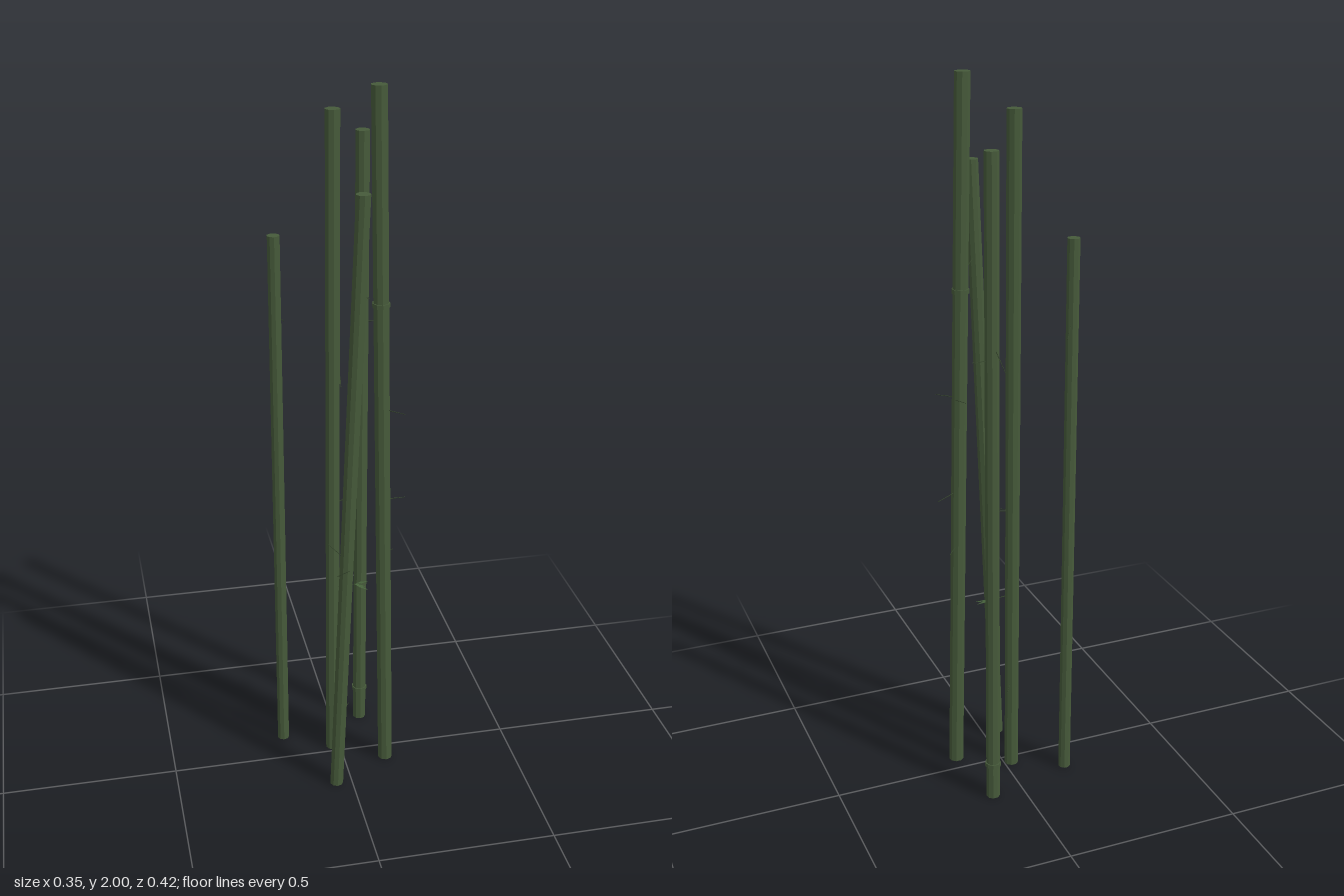
import * as THREE from 'three';

const stalkGreen = new THREE.MeshStandardMaterial({ color: 0x465a3a });
const twigGreen = new THREE.MeshStandardMaterial({ color: 0x35452c });
const leafGreen = new THREE.MeshStandardMaterial({ color: 0x45603a, side: THREE.DoubleSide });
stalkGreen.name = 'stalk green';
twigGreen.name = 'twig green';
leafGreen.name = 'leaf green';

const V = (p) => new THREE.Vector3(...p);

// faceted normals
function faceted(geo) {
  const g = geo.toNonIndexed();
  g.computeVertexNormals();
  return g;
}

// round bar whose horizontal ends sit at points a and b
function leaningBar(a, b, r0, r1, sides) {
  const geo = new THREE.CylinderGeometry(r1, r0, b.y - a.y, sides, 1);
  const pos = geo.attributes.position;
  for (let i = 0; i < pos.count; i++) {
    const t = pos.getY(i) > 0 ? 1 : 0;
    const c = a.clone().lerp(b, t);
    pos.setXYZ(i, pos.getX(i) + c.x, c.y, pos.getZ(i) + c.z);
  }
  return faceted(geo);
}

// stalk: base and top centres, radius, node heights
const stalks = [
  { name: 'shortStalk', a: [-0.16, 0, -0.102], b: [-0.16, 1.59, -0.102], r: 0.0172, nodes: [] },
  { name: 'backStalk', a: [0.09, 0, -0.162], b: [0.09, 1.84, -0.162], r: 0.0195, nodes: [0.1] },
  { name: 'middleStalk', a: [-0.022, 0, -0.027], b: [-0.01, 1.92, -0.064], r: 0.02, nodes: [] },
  { name: 'tallStalk', a: [0.122, 0, 0.053], b: [0.082, 2, 0.053], r: 0.021, nodes: [1.43] },
  { name: 'frontStalk', a: [-0.045, 0, 0.147], b: [0.022, 1.76, 0.154], r: 0.019, nodes: [] },
];

// twigs: start and end
const twigs = [
  [[-0.15, 1.36, -0.115], [-0.128, 1.335, -0.145]],
  [[0.105, 1.31, -0.163], [0.145, 1.31, -0.163]],
  [[0.086, 1.34, -0.178], [0.073, 1.29, -0.21]],
  [[-0.004, 0.556, -0.028], [0.05, 0.556, -0.034]],
  [[-0.003, 0.825, -0.04], [0.042, 0.835, -0.05]],
  [[-0.01, 0.28, -0.045], [0.012, 0.27, -0.08]],
  [[0.117, 1.14, 0.035], [0.105, 1.145, -0.012]],
  [[0.122, 0.7, 0.04], [0.145, 0.69, 0.02]],
  [[0.12, 0.865, 0.045], [0.175, 0.855, 0.025]],
  [[0.115, 1.14, 0.063], [0.152, 1.14, 0.097]],
  [[-0.03, 0.755, 0.135], [-0.055, 0.765, 0.09]],
  [[-0.03, 1.25, 0.135], [-0.022, 1.26, 0.09]],
  [[-0.03, 0.235, 0.135], [-0.002, 0.25, 0.112]],
  [[0.025, 1.495, 0.14], [0.047, 1.48, 0.122]],
  [[-0.05, 0.72, 0.187], [-0.02, 0.745, 0.207]],
];

// leaf blades sharing one origin
const leafRoot = [0.045, 0.556, -0.033];
const leafTips = [[0.09, 0.555, -0.044], [0.082, 0.545, -0.01], [0.077, 0.55, -0.022]];

function createTwig([start, end]) {
  const a = V(start), b = V(end), d = b.clone().sub(a);
  const m = new THREE.Mesh(
    faceted(new THREE.CylinderGeometry(0.0007, 0.0013, d.length(), 5)), twigGreen);
  m.name = 'twig';
  m.position.copy(a).lerp(b, 0.5);
  m.quaternion.setFromUnitVectors(new THREE.Vector3(0, 1, 0), d.normalize());
  return m;
}

// flat diamond blade
function createLeaf(tip) {
  const a = V(leafRoot), b = V(tip), d = b.clone().sub(a);
  const side = new THREE.Vector3(-d.z, 0, d.x).setLength(0.005);
  const mid = a.clone().lerp(b, 0.45);
  const geo = new THREE.BufferGeometry().setFromPoints(
    [a, mid.clone().add(side), b, mid.clone().sub(side)]);
  geo.setIndex([0, 1, 2, 0, 2, 3]);
  geo.computeVertexNormals();
  const m = new THREE.Mesh(geo, leafGreen);
  m.name = 'leaf';
  return m;
}

export function createModel() {
  const model = new THREE.Group();
  model.name = 'bambooStalks';

  for (const { name, a, b, r, nodes } of stalks) {
    const g = new THREE.Group();
    g.name = name;
    const base = V(a), top = V(b);
    const cane = new THREE.Mesh(leaningBar(base, top, r, r, 9), stalkGreen);
    cane.name = 'cane';
    g.add(cane);
    // raised joint rings
    for (const y of nodes) {
      const p = base.clone().lerp(top, y / top.y);
      const q = base.clone().lerp(top, (y + 0.012) / top.y);
      const ring = new THREE.Mesh(leaningBar(p, q, r + 0.003, r + 0.003, 9), stalkGreen);
      ring.name = 'joint';
      g.add(ring);
    }
    model.add(g);
  }

  twigs.forEach((t) => model.add(createTwig(t)));
  leafTips.forEach((t) => model.add(createLeaf(t)));
  return model;
}
